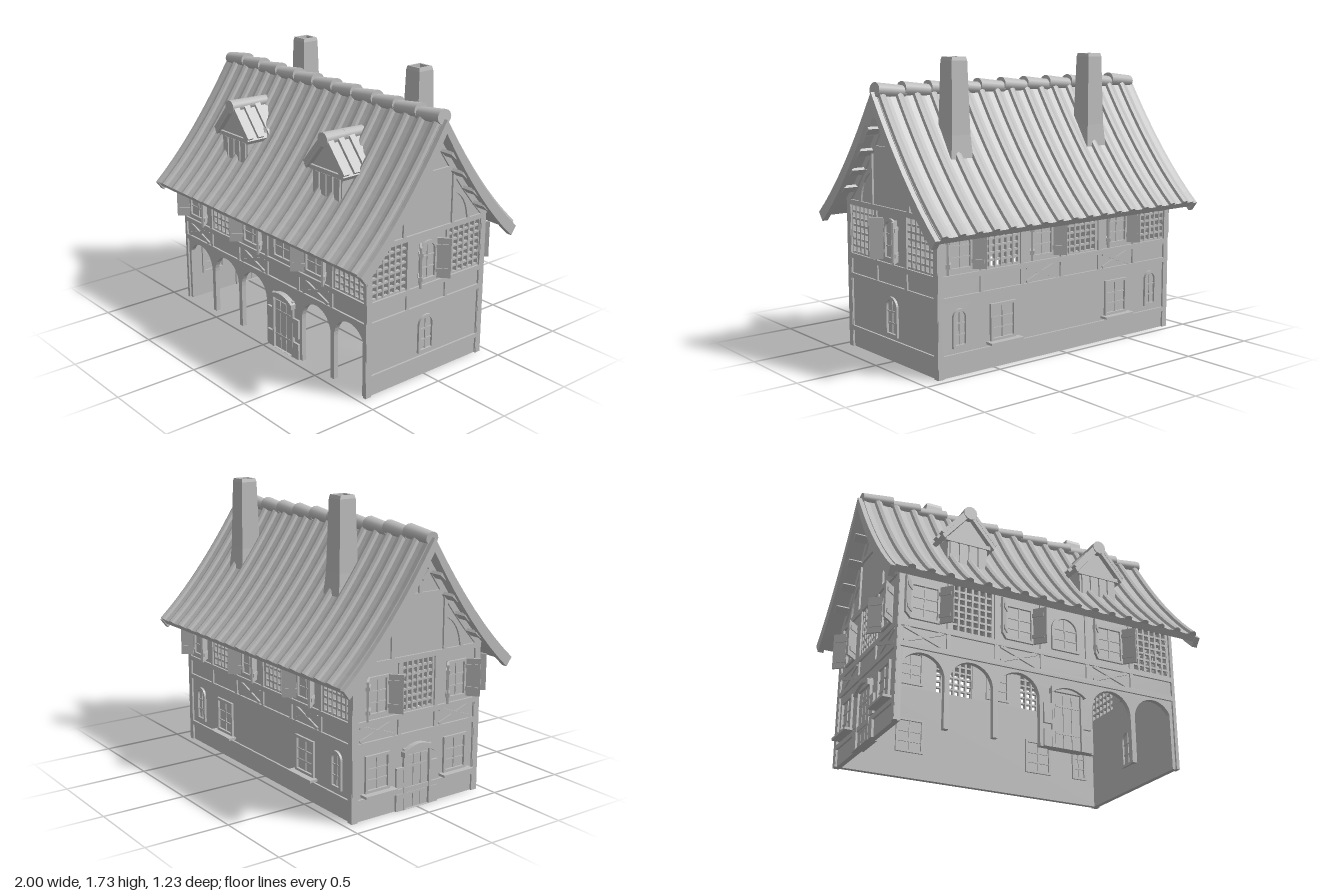
import * as THREE from 'three';

const stone = new THREE.MeshStandardMaterial({ color: 0xbcbcbc, side: THREE.DoubleSide });
stone.name = 'plain grey';

function add(parent, geo, name) {
  const m = new THREE.Mesh(geo, stone);
  m.name = name;
  parent.add(m);
  return m;
}
function box(parent, name, x, y, z, w, h, d, rz = 0) {
  const m = add(parent, new THREE.BoxGeometry(w, h, d), name);
  m.position.set(x, y, z);
  m.rotation.z = rz;
  return m;
}
function plate(parent, name, shape, z0, z1) {
  const geo = new THREE.ExtrudeGeometry(shape, { depth: z1 - z0, bevelEnabled: false, curveSegments: 8 });
  return add(parent, geo.translate(0, 0, z0), name);
}
// Straight beam between two points on a wall
function beam(g, name, a, b, w, d = 0.014) {
  const dx = b[0] - a[0], dy = b[1] - a[1];
  return box(g, name, (a[0] + b[0]) / 2, (a[1] + b[1]) / 2, d / 2 - 0.002, Math.hypot(dx, dy), w, d, Math.atan2(dy, dx));
}
// Rectangle or round-headed outline
function outline(target, u, v, w, h, arch) {
  const r = w / 2;
  target.moveTo(u - r, v);
  target.lineTo(u + r, v);
  if (arch) {
    target.lineTo(u + r, v + h - r);
    target.absarc(u, v + h - r, r, 0, Math.PI, false);
  } else {
    target.lineTo(u + r, v + h);
    target.lineTo(u - r, v + h);
  }
  target.lineTo(u - r, v);
  return target;
}

// Concave roof slope
const roofY = z => 1.55 - 1.6 * z + 0.6 * z * z;
const EAVE = 0.595;

function windowAt(g, u, v, w, h, { arch = false, shut = false, sill = false } = {}) {
  const t = 0.016;
  const s = outline(new THREE.Shape(), u, v, w, h, arch);
  s.holes.push(outline(new THREE.Path(), u, v + t, w - 2 * t, h - 2 * t, arch));
  plate(g, 'windowFrame', s, -0.042, 0.014);
  box(g, 'windowBar', u, v + h / 2, -0.015, 0.01, h - t, 0.042);
  for (const k of [0.33, 0.62]) box(g, 'windowBar', u, v + h * k, -0.015, w - t, 0.008, 0.042);
  if (sill) box(g, 'windowSill', u, v - 0.006, 0.026, w + 0.05, 0.014, 0.052);
  if (!shut) return;
  for (const side of [-1, 1]) {
    const hinge = new THREE.Group();
    hinge.name = 'shutter';
    hinge.position.set(u + side * w / 2, v, 0.012);
    hinge.rotation.y = -side * 0.85;
    box(hinge, 'shutterBoard', side * 0.04, h / 2, 0, 0.08, h, 0.012);
    for (const k of [0.2, 0.8]) box(hinge, 'shutterHinge', side * 0.03, h * k, 0, 0.07, 0.022, 0.024);
    g.add(hinge);
  }
}

// Open square grid
function lattice(g, u, w, v = 0.575, h = 0.285, nx = 6, ny = 7) {
  for (let i = 0; i <= nx; i++) box(g, 'latticeUpright', u - w / 2 + w * i / nx, v + h / 2, -0.01, 0.012, h, 0.022);
  for (let j = 0; j <= ny; j++) box(g, 'latticeRail', u, v + h * j / ny, -0.01, w, 0.012, 0.018);
}
function cross(g, u, w) {
  beam(g, 'crossBrace', [u - w / 2, 0.455], [u + w / 2, 0.54], 0.02, 0.01);
  beam(g, 'crossBrace', [u - w / 2, 0.54], [u + w / 2, 0.455], 0.02, 0.012);
}
function door(g, u) {
  const s = outline(new THREE.Shape(), u, 0, 0.2, 0.36, false);
  s.holes.push(outline(new THREE.Path(), u, 0.001, 0.17, 0.33, false));
  plate(g, 'doorFrame', s, -0.042, 0.016);
  for (const k of [-1, 0, 1]) box(g, 'doorBoard', u + k * 0.054, 0.16, -0.015, 0.048, 0.31, 0.042);
  for (const y of [0.09, 0.25]) box(g, 'doorHinge', u, y, -0.015, 0.15, 0.014, 0.048);
  const hood = new THREE.Shape();
  hood.moveTo(u - 0.11, 0.315);
  hood.quadraticCurveTo(u, 0.395, u + 0.11, 0.315);
  hood.lineTo(u + 0.11, 0.345);
  hood.quadraticCurveTo(u, 0.42, u - 0.11, 0.345);
  plate(g, 'doorHood', hood, 0, 0.035);
  for (const k of [-1, 1]) {
    box(g, 'doorBlock', u + k * 0.125, 0.05, 0.006, 0.05, 0.1, 0.016);
    box(g, 'doorBlock', u + k * 0.125, 0.195, 0.006, 0.05, 0.12, 0.016);
  }
}

// Wall slab with its frame of posts and rails; latticeBays are [centre, width]
function wall(name, shape, half, latticeBays, posts, plinth) {
  const g = new THREE.Group();
  g.name = name;
  for (const [u, w] of latticeBays) {
    shape.holes.push(outline(new THREE.Path(), u, 0.575, w, 0.285, false));
    lattice(g, u, w);
  }
  plate(g, 'wallPanel', shape, -0.03, 0);
  for (const y of [0.435, 0.555, 0.875]) beam(g, 'rail', [-half, y], [half, y], 0.03);
  if (plinth) beam(g, 'plinthRail', [-half, 0.115], [half, 0.115], 0.028);
  for (const k of [-1, 1]) {
    if (plinth) beam(g, 'cornerPost', [k * (half - 0.018), 0], [k * (half - 0.018), 0.88], 0.036);
    else beam(g, 'cornerPost', [k * (half - 0.01), 0], [k * (half - 0.01), 0.88], 0.02);
  }
  for (const u of posts) beam(g, 'post', [u, 0.435], [u, 0.88], 0.022, 0.012);
  return g;
}

function frontWall() {
  const s = new THREE.Shape();
  s.moveTo(-0.89, 0);
  for (const c of [-0.735, -0.445, -0.155, 0.445, 0.735]) {
    s.lineTo(c - 0.13, 0);
    s.lineTo(c - 0.13, 0.275);
    s.absarc(c, 0.275, 0.13, Math.PI, 0, true);
    s.lineTo(c + 0.13, 0);
  }
  s.lineTo(0.89, 0);
  s.lineTo(0.89, 0.9);
  s.lineTo(-0.89, 0.9);
  const g = wall('frontWall', s, 0.89, [[-0.445, 0.25], [0.735, 0.25]], [-0.59, -0.3, -0.01, 0.29, 0.59], false);
  for (const u of [-0.735, -0.155, 0.445]) {
    windowAt(g, u, 0.59, 0.18, 0.22, { shut: true });
    cross(g, u, 0.23);
  }
  windowAt(g, 0.145, 0.59, 0.18, 0.22, { arch: true });
  door(g, 0.145);
  g.position.z = 0.445;
  return g;
}

function backWall() {
  const s = outline(new THREE.Shape(), 0, 0, 1.78, 0.9, false);
  // Bays run from the left of the model to its right
  const g = wall('backWall', s, 0.89, [[-0.445, 0.25], [0.15, 0.25], [0.735, 0.25]], [-0.59, -0.3, 0, 0.3, 0.59], true);
  for (const u of [-0.735, -0.15, 0.445]) windowAt(g, u, 0.59, 0.16, 0.22, { shut: true, arch: u === -0.735 });
  for (const u of [-0.15, 0.445]) cross(g, u, 0.23);
  for (const k of [-1, 1]) {
    windowAt(g, k * 0.74, 0.16, 0.1, 0.22, { arch: true });
    windowAt(g, k * 0.44, 0.155, 0.18, 0.215, { sill: true });
  }
  g.position.z = -0.445;
  g.rotation.y = Math.PI;
  return g;
}

function gableWall(side) {
  const s = new THREE.Shape();
  s.moveTo(-0.445, 0);
  s.lineTo(0.445, 0);
  for (let i = -10; i <= 10; i++) s.lineTo(-0.0445 * i, roofY(Math.abs(0.0445 * i)) - 0.045);
  const left = side > 0;
  const bays = left ? [[-0.285, 0.26], [0.285, 0.26]] : [[0, 0.22]];
  const g = wall(left ? 'leftGable' : 'rightGable', s, 0.455, bays, left ? [-0.15, 0.15] : [-0.13, 0.13], true);
  if (left) {
    windowAt(g, 0, 0.59, 0.13, 0.24, { arch: true, shut: true });
    windowAt(g, 0, 0.15, 0.12, 0.23, { arch: true });
  } else {
    door(g, 0);
    for (const k of [-1, 1]) {
      windowAt(g, k * 0.28, 0.155, 0.17, 0.215, { sill: true });
      windowAt(g, k * 0.28, 0.59, 0.14, 0.22, { shut: true });
      cross(g, k * 0.28, 0.24);
    }
  }
  // Timbering of the gable triangle
  beam(g, 'collarBeam', [-0.2, 1.215], [0.2, 1.215], 0.03);
  beam(g, 'kingPost', [0, 1.22], [0, 1.48], 0.022);
  for (const k of [-1, 1]) {
    beam(g, 'gablePost', [k * 0.185, 0.88], [k * 0.185, 1.22], 0.022);
    beam(g, 'kingBrace', [k * 0.015, 1.3], [k * 0.09, 1.37], 0.02);
    const arc = new THREE.Shape();
    arc.moveTo(k * 0.19, 1.1);
    arc.quadraticCurveTo(k * 0.31, 1.05, k * 0.32, 0.89);
    arc.lineTo(k * 0.3, 0.89);
    arc.quadraticCurveTo(k * 0.285, 1.03, k * 0.19, 1.07);
    plate(g, 'curvedBrace', arc, 0, 0.012);
    for (let i = 0; i < 5; i++) {
      const a = i * 0.09, b = a + 0.09;
      beam(g, 'rafter', [k * a, roofY(a) - 0.075], [k * b, roofY(b) - 0.075], 0.04);
    }
    // Purlin ends carrying the overhang
    for (const z of [0.09, 0.18, 0.27, 0.36])
      box(g, 'purlin', k * z, roofY(z) - 0.09, 0.045, 0.05, 0.018, 0.1, -k * 0.75);
  }
  g.position.x = side * 0.88;
  g.rotation.y = side * Math.PI / 2;
  return g;
}

// Slab following both slopes, extruded along x
function roofSlab(parent, name, x0, x1, lift, thick) {
  const s = new THREE.Shape(), n = 8;
  for (let i = -n; i <= n; i++) {
    const z = EAVE * i / n, y = roofY(Math.abs(z)) + lift;
    i === -n ? s.moveTo(z, y) : s.lineTo(z, y);
  }
  for (let i = n; i >= -n; i--) s.lineTo((EAVE - thick * 0.75) * i / n, roofY(Math.abs(EAVE * i / n)) + lift - thick * (1.5 - 0.5 * Math.abs(i / n)));
  const m = plate(parent, name, s, x0, x1);
  m.geometry.rotateY(Math.PI / 2).scale(1, 1, -1);
  // Restore the winding after the mirroring
  const p = m.geometry.toNonIndexed().attributes.position;
  for (let i = 0; i < p.count; i += 3) for (const c of ['X', 'Y', 'Z']) {
    const t = p['get' + c](i);
    p['set' + c](i, p['get' + c](i + 1));
    p['set' + c](i + 1, t);
  }
  m.geometry.setAttribute('position', p);
  m.geometry.computeVertexNormals();
}

// Ribbed tile sheet: flat pans between raised covers
function tileSheet(side) {
  const tiles = 17, pitch = 1.94 / tiles, rows = 10, pos = [], idx = [], xs = [];
  for (let i = 0; i < tiles; i++)
    for (const [f, h] of [[0, 0.004], [0.3, 0], [0.58, 0.004], [0.63, 0.02], [0.79, 0.027], [0.95, 0.02]]) xs.push([-0.97 + (i + f) * pitch, h]);
  xs.push([0.97, 0.004]);
  for (let r = 0; r <= rows + 1; r++) {
    const z = Math.min(r, rows) / rows * EAVE;
    for (const [x, h] of xs) {
      const k = r > rows ? -0.01 : h;
      pos.push(x, roofY(z) + k * 0.6, side * (z + k * 0.8));
    }
  }
  const n = xs.length;
  for (let r = 0; r <= rows; r++) for (let i = 0; i < n - 1; i++) {
    const a = r * n + i, b = a + 1, c = a + n, d = c + 1;
    side > 0 ? idx.push(a, c, b, b, c, d) : idx.push(a, b, c, b, d, c);
  }
  const g = new THREE.BufferGeometry();
  g.setAttribute('position', new THREE.Float32BufferAttribute(pos, 3));
  g.setIndex(idx);
  const flat = g.toNonIndexed();
  flat.computeVertexNormals();
  return flat;
}

function dormer(x) {
  const g = new THREE.Group();
  g.name = 'dormer';
  const s = new THREE.Shape([[-0.125, 1.0], [0.125, 1.0], [0.125, 1.21], [0, 1.36], [-0.125, 1.21]].map(p => new THREE.Vector2(...p)));
  plate(g, 'dormerBody', s, 0.12, 0.355);
  const r = new THREE.Shape([[0, 1.4], [-0.172, 1.2], [-0.157, 1.178], [0, 1.362], [0.157, 1.178], [0.172, 1.2]].map(p => new THREE.Vector2(...p)));
  plate(g, 'dormerRoof', r, 0.1, 0.385);
  for (const k of [-1, 1]) for (const z of [0.21, 0.29, 0.367])
    box(g, 'dormerTile', k * 0.09, 1.305, z, 0.25, 0.02, 0.04, -k * 0.86);
  for (const [z, rad] of [[0.18, 0.038], [0.32, 0.042]]) {
    const cap = add(g, new THREE.CylinderGeometry(rad, rad - 0.005, 0.145, 12), 'dormerRidge');
    cap.rotation.x = Math.PI / 2;
    cap.position.set(0, 1.38, z);
  }
  box(g, 'dormerBeam', 0, 1.19, 0.36, 0.28, 0.025, 0.02);
  for (const u of [-0.09, -0.03, 0.03, 0.09]) box(g, 'dormerBoard', u, 1.11, 0.358, 0.048, 0.13, 0.018);
  g.position.x = x;
  return g;
}

function chimney(x) {
  // Square tapering stack with a hollow top
  const pts = [[0.075, 1.17], [0.064, 1.3], [0.053, 1.71], [0.048, 1.73], [0.036, 1.73], [0.034, 1.5], [0, 1.5]];
  const geo = new THREE.LatheGeometry(pts.map(p => new THREE.Vector2(p[0] * Math.SQRT2, p[1])), 4).rotateY(Math.PI / 4).toNonIndexed();
  geo.computeVertexNormals();
  const m = new THREE.Mesh(geo, stone);
  m.name = 'chimney';
  m.position.set(x, 0, -0.195);
  return m;
}

export function createModel() {
  const house = new THREE.Group();
  house.name = 'timberHouse';
  house.add(frontWall(), backWall(), gableWall(1), gableWall(-1));

  const roof = new THREE.Group();
  roof.name = 'roof';
  roofSlab(roof, 'roofSlab', -0.97, 0.97, 0, 0.03);
  for (const x of [-1, 0.965]) roofSlab(roof, 'bargeBoard', x, x + 0.035, -0.008, 0.05);
  for (const side of [-1, 1]) add(roof, tileSheet(side), 'roofTiles');
  // Overlapping ridge tiles, each wider at its left end
  const count = 11, pitch = 1.94 / count;
  for (let i = 0; i < count; i++) {
    const cap = add(roof, new THREE.CylinderGeometry(0.042, 0.05, pitch + 0.012, 14, 1, false), 'ridgeTile');
    cap.rotation.z = Math.PI / 2 + 0.09;
    cap.scale.x = 0.85;
    cap.position.set(-0.97 + (i + 0.5) * pitch, 1.545, 0);
  }
  house.add(roof);

  for (const x of [-0.44, 0.44]) house.add(dormer(x));
  for (const x of [-0.44, 0.58]) house.add(chimney(x));
  return house;
}
